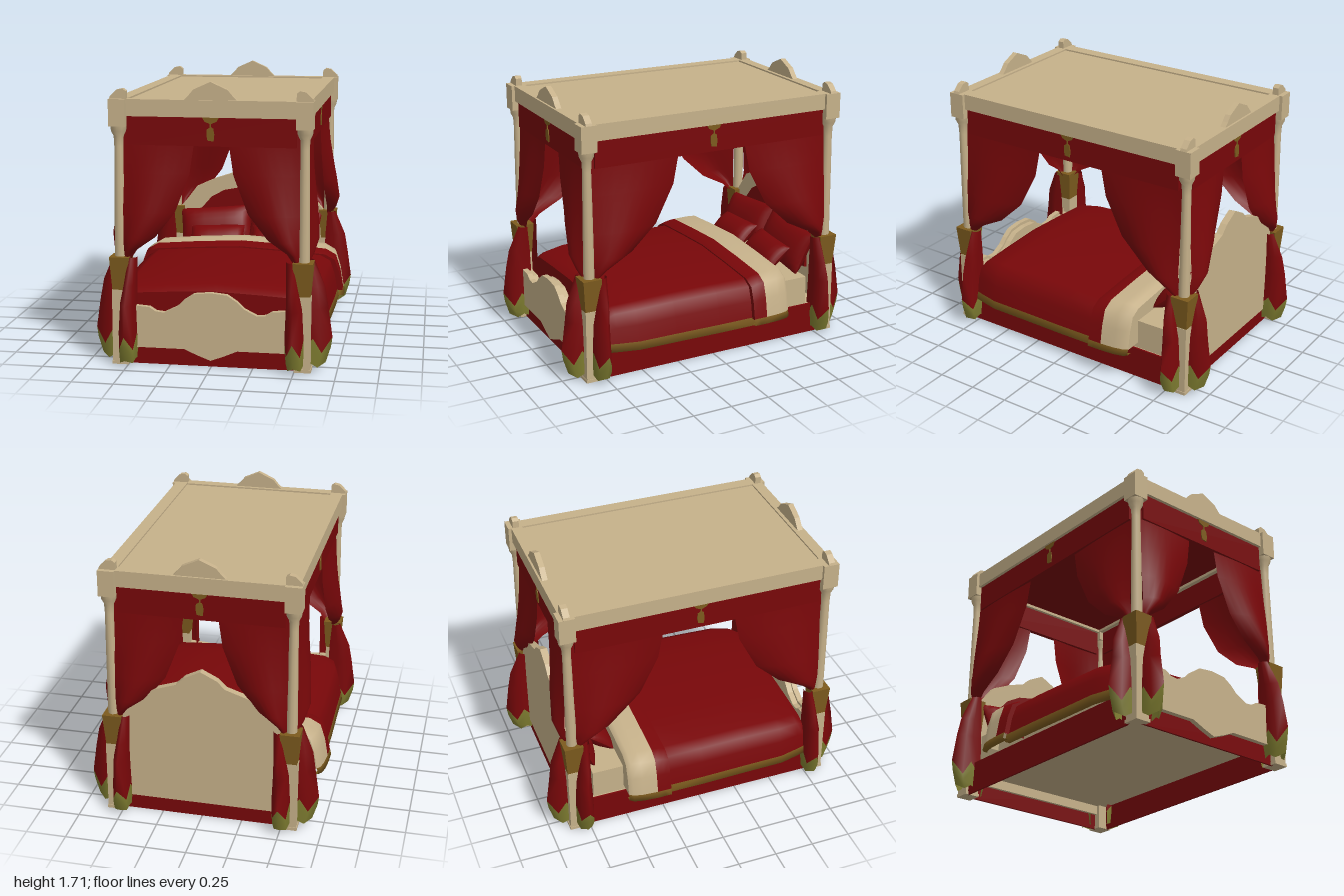
import * as THREE from 'three';

const D = THREE.DoubleSide;
const mat = (name, color, side = THREE.FrontSide) => Object.assign(new THREE.MeshStandardMaterial({ color, side }), { name });

export function createModel() {
  const wood = mat('pale wood', 0xc6b18a);
  const red = mat('red fabric', 0x780709, D);
  const gold = mat('gold braid', 0x7d5b1e, D);
  const olive = mat('olive hem', 0x7e7c30, D);
  const linen = mat('linen', 0xc6b18a, D);
  const model = new THREE.Group();

  const add = (name, geo, m, x = 0, y = 0, z = 0) => {
    const mesh = new THREE.Mesh(geo, m);
    mesh.name = name;
    mesh.position.set(x, y, z);
    model.add(mesh);
    return mesh;
  };
  const box = (name, w, h, d, m, x, y, z) => add(name, new THREE.BoxGeometry(w, h, d), m, x, y, z);

  // Surface through rows of [x, y, z] points
  const loft = (rows) => {
    const n = rows[0].length, idx = [];
    for (let i = 0; i < rows.length - 1; i++)
      for (let j = 0; j < n - 1; j++) {
        const a = i * n + j, b = a + n;
        idx.push(a, b, a + 1, b, b + 1, a + 1);
      }
    const g = new THREE.BufferGeometry();
    g.setAttribute('position', new THREE.Float32BufferAttribute(rows.flat(2), 3));
    g.setIndex(idx);
    g.computeVertexNormals();
    return g;
  };

  // Board cut from a symmetric outline given as its +x half, top to bottom
  const board = (name, half, depth, m, z) => {
    const pts = [...half, ...half.slice().reverse().map(([x, y]) => [-x, y])];
    const shape = new THREE.Shape(pts.map(([x, y]) => new THREE.Vector2(x, y)));
    return add(name, new THREE.ExtrudeGeometry(shape, { depth, bevelEnabled: false }), m, 0, 0, z - depth / 2);
  };

  // Canopy roof: frame, sunk panel and fabric ceiling
  for (const s of [-1, 1]) {
    box('roofSideBeam', 0.08, 0.1, 1.72, wood, s * 0.54, 1.55, 0);
    box('roofEndBeam', 1.0, 0.1, 0.07, wood, 0, 1.55, s * 0.825);
    board('roofCrest', [[0, 1.705], [0.1, 1.66], [0.13, 1.625], [0.155, 1.6]], 0.035, wood, s * 0.83);
    // Valances
    box('endValance', 1.0, 0.17, 0.03, red, 0, 1.415, s * 0.825);
    box('sideValance', 0.03, 0.17, 1.56, red, s * 0.545, 1.415, 0);
  }
  box('roofPanel', 1.02, 0.06, 1.6, wood, 0, 1.56, 0);
  box('ceiling', 1.0, 0.01, 1.58, red, 0, 1.524, 0);

  // Valance tassels
  const tassel = new THREE.Shape([[-0.05, 1.5], [-0.035, 1.475], [-0.004, 1.462], [-0.004, 1.442], [-0.022, 1.43], [-0.024, 1.395], [-0.018, 1.365],
    [0.018, 1.36], [0.022, 1.4], [0.016, 1.435], [0.004, 1.442], [0.004, 1.462], [0.035, 1.475], [0.05, 1.5]].map(p => new THREE.Vector2(...p)));
  for (let k = 0; k < 4; k++) {
    const a = k * Math.PI / 2, r = k % 2 ? 0.562 : 0.842;
    const t = add('tassel', new THREE.ExtrudeGeometry(tassel, { depth: 0.006, bevelEnabled: false }), gold, Math.sin(a) * r, 0, Math.cos(a) * r);
    t.rotation.y = a;
  }

  // Corner posts
  const column = new THREE.LatheGeometry([[0.034, 0.44], [0.034, 0.72], [0.03, 1.1], [0.027, 1.32], [0.03, 1.38], [0.045, 1.41], [0.05, 1.45]]
    .map(p => new THREE.Vector2(...p)), 10);
  const ear = new THREE.Shape([[0.5, 1.6], [0.6, 1.6], [0.595, 1.615], [0.555, 1.653], [0.52, 1.66], [0.5, 1.645]].map(p => new THREE.Vector2(...p)));

  // Upper curtain: [height, inner edge as share of full opening, bulge]
  const drape = [[1.5, 1, 0], [1.33, 1, 0.012], [1.16, 0.94, 0.035], [0.93, 0.73, 0.072], [0.78, 0.45, 0.088], [0.7, 0.18, 0.065], [0.645, 0.03, 0.035]];
  // Lower curtain: [height, centre, half width, outward reach]
  const skirt = [[0.66, 0.472, 0.027, 0.045], [0.5, 0.486, 0.036, 0.112], [0.38, 0.498, 0.048, 0.132], [0.18, 0.5, 0.056, 0.158]];
  const hem = [skirt[3], [0.12, 0.5, 0.056, 0.15], [0.025, 0.504, 0.051, 0.12]];
  const section = [[-0.9, -0.2], [-1, 0.3], [-0.75, 0.62], [0, 1], [0.75, 0.62], [1, 0.3], [1, -0.2]];
  // Height offsets that make the hem zigzag
  const zigzag = { 0.18: [0.02, -0.07], 0.12: [0.02, -0.05], 0.025: [0.02, -0.005] };

  for (const sx of [-1, 1]) for (const sz of [-1, 1]) {
    const x = sx * 0.55, z = sz * 0.83;
    box('postLeg', 0.092, 0.46, 0.092, wood, x, 0.23, z);
    box('postFoot', 0.1, 0.02, 0.1, wood, x, 0.01, z);
    add('postColumn', column, wood, x, 0, z);
    box('postBlock', 0.1, 0.16, 0.1, wood, x, 1.52, z);
    const e = add('postEar', new THREE.ExtrudeGeometry(ear, { depth: 0.04, bevelEnabled: false }), wood, 0, 0, z - sx * 0.02);
    if (sx < 0) e.rotation.y = Math.PI;
    const band = new THREE.CylinderGeometry(0.06 * Math.SQRT2, 0.046 * Math.SQRT2, 0.2, 4, 1).rotateY(Math.PI / 4).toNonIndexed();
    band.computeVertexNormals();
    add('curtainTie', band, gold, sx * 0.547, 0.56, z);

    // One curtain on the end face and one on the side face
    for (const end of [true, false]) {
      const place = (u, y, d) => end ? [sx * u, y, sz * (0.83 + d)] : [sx * (0.55 + d), y, sz * (u + 0.28)];
      const start = 0.525, span = end ? 0.42 : 0.575, full = sz < 0 ? 1.12 : 1;
      add('upperCurtain', loft(drape.map(([y, w, b]) => Array.from({ length: 9 }, (_, j) => {
        const s = j / 8;
        return place(start - s * Math.max(w * span, 0.04), y, full * b * Math.sin(Math.PI * (0.15 + 0.8 * s)) - 0.012);
      }))), red);
      const rings = (list) => list.map(([y, c, w, d]) => section.map(([u, o], j) =>
        place(c + u * w, y + (zigzag[y] ? zigzag[y][(j + 1) % 2] : 0), o * d + 0.01)));
      add('lowerCurtain', loft(rings(skirt)), red);
      add('curtainHem', loft(rings(hem)), olive);
    }
  }

  // Bed base, mattress and boards
  for (const s of [-1, 1]) {
    box('sideRail', 0.012, 0.2, 1.6, red, s * 0.574, 0.1, 0);
    box('endRail', 1.04, s > 0 ? 0.14 : 0.2, 0.012, red, 0, s > 0 ? 0.07 : 0.1, s * 0.834);
  }
  box('basePanel', 1.14, 0.03, 1.66, wood, 0, 0.175, 0);
  box('mattress', 1.1, 0.19, 1.4, linen, 0, 0.285, -0.005);
  board('headboard', [[0, 1.0], [0.1, 0.95], [0.15, 0.9], [0.27, 0.86], [0.4, 0.8], [0.46, 0.72], [0.51, 0.66], [0.51, 0.1]], 0.045, wood, -0.83);
  board('headboardPad', [[0, 0.775], [0.04, 0.79], [0.1, 0.8], [0.2, 0.78], [0.29, 0.73], [0.36, 0.65], [0.4, 0.55], [0.4, 0.38]], 0.02, red, -0.8);
  const foot = [[0, 0.46], [0.1, 0.45], [0.16, 0.41], [0.2, 0.37], [0.24, 0.35], [0.28, 0.33], [0.33, 0.335], [0.37, 0.36], [0.51, 0.37]];
  board('footboard', [...foot, [0.51, 0.11], [0.16, 0.11], [0.08, 0.075], [0, 0.045]], 0.035, wood, 0.855);
  board('footboardBack', [...foot.map(([x, y]) => [x, y - 0.02]), [0.51, 0.14]], 0.04, wood, 0.82);

  // Duvet cross-sections: half profile mirrored, scaled in width and height
  const half = [[0.665, 0.225], [0.645, 0.34], [0.615, 0.43], [0.55, 0.465], [0.3, 0.484], [0, 0.5]];
  const profile = (z, w, h) => [...half.map(([x, y]) => [-x, y]), ...half.slice(0, -1).reverse()]
    .map(([x, y]) => [x * w, 0.225 + (y - 0.225) * h, z]);
  const cover = (name, rows, m, capped) => {
    add(name, loft(rows), m);
    const flat = (r) => r.map(([x, , z]) => [x, 0.225, z]);
    for (const r of capped) add(name + 'End', loft([r, flat(r)]), m);
  };
  const duvet = [[-0.26, 1, 0.97], [0, 1, 0.98], [0.3, 0.99, 0.97], [0.55, 0.985, 0.94], [0.68, 0.94, 0.88], [0.73, 0.92, 0.76]].map(a => profile(...a));
  cover('duvet', duvet, red, [duvet[5]]);
  const cuff = [[-0.235, 1.05, 1], [-0.275, 1.05, 1.06], [-0.325, 1.05, 1.08], [-0.42, 1.04, 1.1], [-0.48, 1.02, 1.1], [-0.505, 0.99, 1]].map(a => profile(...a));
  cover('duvetCuff', cuff.slice(0, 3), red, [cuff[0]]);
  cover('sheetFold', cuff.slice(2), linen, [cuff[5]]);

  // Gold trim along the lower edge of the covers
  const trim = (rows, pick, drop) => loft(rows.map(r => {
    const [x, y, z] = pick(r);
    return [[x * 1.0, y + 0.006, z], [x * 1.014, y - drop, z], [x * 0.96, y - drop, z]];
  }));
  for (const pick of [r => r[0], r => r[r.length - 1]]) {
    add('duvetTrim', trim(duvet, pick, 0.045), gold);
    add('cuffTrim', trim(cuff, pick, 0.035), gold);
  }

  // Pillows: two bulging sheets meeting at a seam
  const pillow = (w, h, d) => {
    const N = 10, rows = [];
    for (let i = 0; i <= 2 * N; i++) {
      const a = i / N * Math.PI, row = [];
      for (let j = 0; j <= N; j++) {
        const u = Math.sin((j / N - 0.5) * Math.PI), v = Math.cos(a);
        const puff = Math.sqrt(Math.max(0, 1 - u ** 4)) * Math.sin(a);
        row.push([u * w / 2 * (1 - 0.03 * (1 - v * v)), v * h / 2 * (1 - 0.03 * (1 - u * u)), puff * d / 2]);
      }
      rows.push(row);
    }
    return loft(rows);
  };
  for (const s of [-1, 1]) {
    const big = add('largePillow', pillow(0.5, 0.29, 0.15), red, s * 0.246, 0.528, -0.735);
    big.rotation.set(-0.4, 0, -s * 0.09);
    const small = add('smallPillow', pillow(0.38, 0.2, 0.12), red, s * 0.215, 0.48, -0.6);
    small.rotation.set(-0.85, 0, -s * 0.05);
  }
  return model;
}
